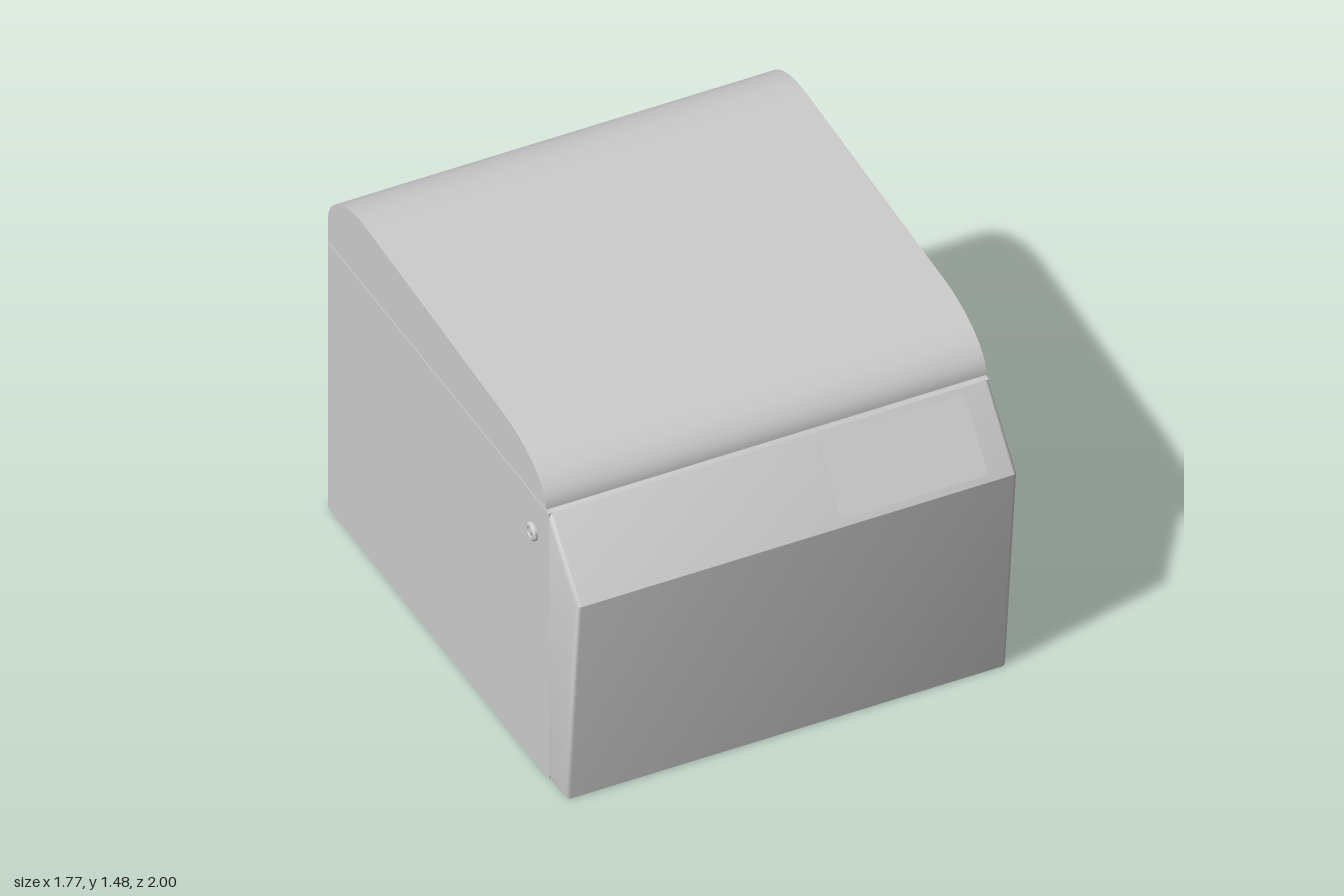
import * as THREE from 'three';
import { toCreasedNormals } from 'three/addons/utils/BufferGeometryUtils.js';

const X0 = -0.875, X1 = 0.885, WIDTH = X1 - X0, MID = (X0 + X1) / 2;

export function createModel() {
  const model = new THREE.Group();
  const grey = new THREE.MeshStandardMaterial({ color: 0xcccccc });

  const add = (name, geometry, x = 0, y = 0, z = 0, parent = model) => {
    const mesh = new THREE.Mesh(geometry, grey);
    mesh.name = name;
    mesh.position.set(x, y, z);
    parent.add(mesh);
    return mesh;
  };

  // Extrudes a side profile drawn in (-z, y) across the width, with optional rounded edges
  const acrossWidth = (shape, bevel, crease) => {
    const g = new THREE.ExtrudeGeometry(shape, {
      depth: WIDTH - 2 * bevel, curveSegments: 20,
      bevelEnabled: bevel > 0, bevelSize: bevel, bevelThickness: bevel,
      bevelOffset: -bevel, bevelSegments: 3,
    });
    g.translate(0, 0, bevel);
    g.rotateY(Math.PI / 2);
    g.translate(X0, 0, 0);
    return toCreasedNormals(g, crease);
  };

  // Main housing
  add('housing', new THREE.BoxGeometry(WIDTH, 1.198, 1.77), MID, 0.599, -0.115);

  // Front cover with a sloped control face and softened edges
  const cover = new THREE.Shape([[-0.7, 0], [-0.7, 1.198], [-0.77, 1.198], [-1, 0.93], [-0.91, 0]]
    .map(([u, y]) => new THREE.Vector2(u, y)));
  add('frontCover', acrossWidth(cover, 0.018, 0.7));

  // Lid with rounded front and back
  const lid = new THREE.Shape();
  lid.moveTo(-0.75, 1.204);
  lid.lineTo(1, 1.204);
  lid.lineTo(1, 1.3);
  lid.bezierCurveTo(1, 1.4, 0.87, 1.485, 0.7, 1.475);
  lid.lineTo(-0.42, 1.4);
  lid.bezierCurveTo(-0.6, 1.385, -0.75, 1.3, -0.75, 1.204);
  add('lid', acrossWidth(lid, 0, 0.5));

  // Seal between lid and housing, and two hinges in the rear gap
  add('lidSeal', new THREE.BoxGeometry(WIDTH - 0.04, 0.01, 1.7), MID, 1.201, -0.13);
  for (const side of [-1, 1]) {
    add('hinge', new THREE.BoxGeometry(0.2, 0.008, 0.03), MID + side * 0.6, 1.201, -0.983);
  }

  // Control panel lying on the slope
  const panel = new THREE.Group();
  panel.name = 'controlPanel';
  panel.position.set(0.48, 1.065, 0.885);
  panel.rotation.x = -Math.atan2(0.23, 0.27);
  model.add(panel);
  add('panelPlate', new THREE.BoxGeometry(0.59, 0.3, 0.006), 0, 0, 0, panel);
  add('screen', new THREE.BoxGeometry(0.35, 0.2, 0.003), 0, 0, 0.003, panel);

  // Round side lock: collar, face and keyway bar
  const lock = new THREE.Group();
  lock.name = 'sideLock';
  lock.position.set(X0, 1.035, 0.645);
  lock.rotation.z = Math.PI / 2;
  model.add(lock);
  const collar = [[0, 0], [0.037, 0], [0.037, 0.008], [0.03, 0.015], [0.022, 0.015], [0.02, 0.01], [0, 0.01]];
  add('lockCollar', toCreasedNormals(new THREE.LatheGeometry(
    collar.map(([r, h]) => new THREE.Vector2(r, h)), 32), 0.5), 0, 0, 0, lock);
  add('lockCore', new THREE.CylinderGeometry(0.012, 0.012, 0.014, 24), 0, 0.007, 0, lock);

  return model;
}
